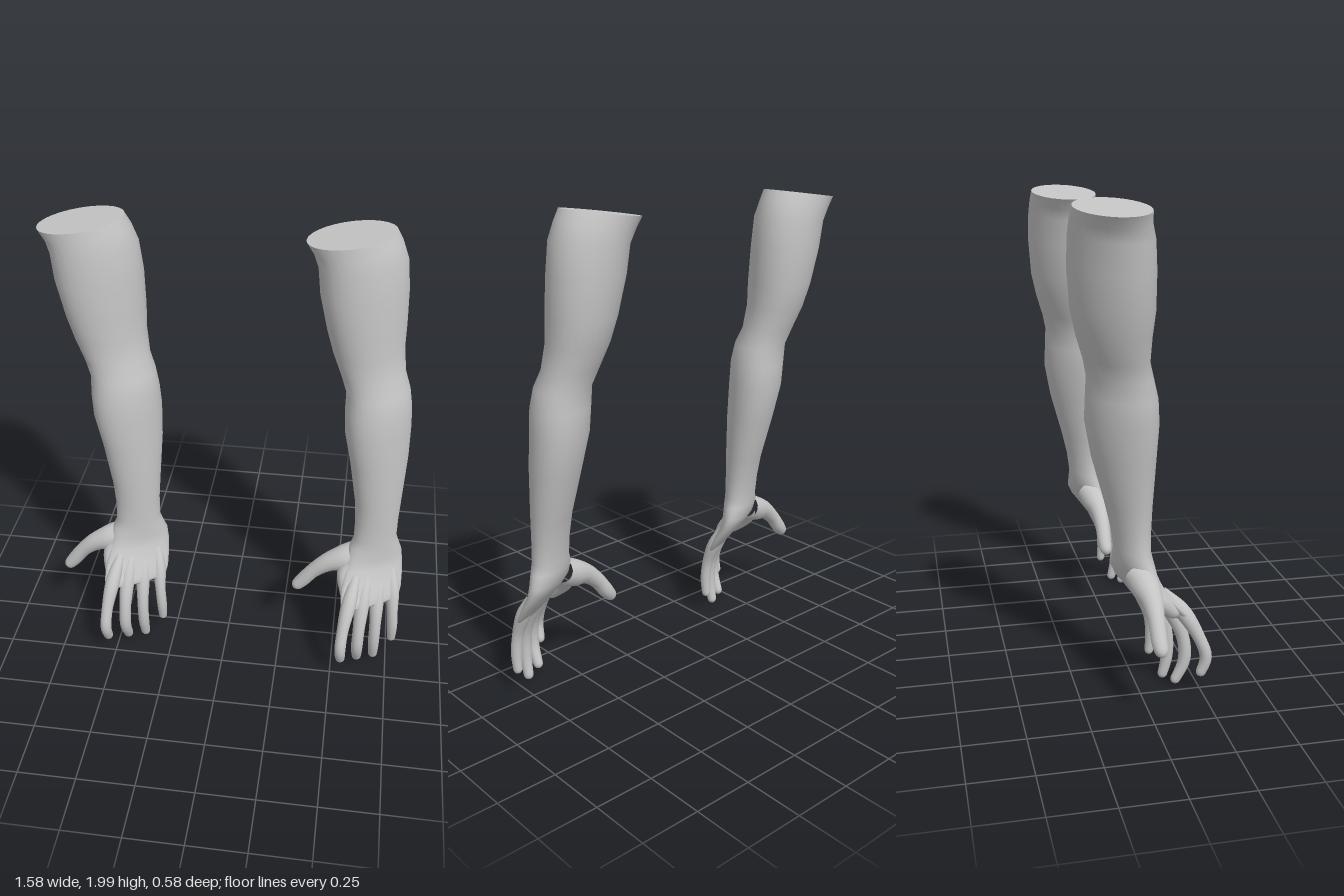
import * as THREE from 'three';

const skin = new THREE.MeshStandardMaterial({ color: 0xc4c4c4 });
skin.name = 'plain grey';

// Skin a list of rings (each an array of Vector3) and close the far end.
function loft(rings) {
  const n = rings[0].length, pos = [], idx = [];
  rings.forEach(r => r.forEach(p => pos.push(p.x, p.y, p.z)));
  for (let i = 0; i < rings.length - 1; i++) {
    for (let j = 0; j < n; j++) {
      const a = i * n + j, b = i * n + (j + 1) % n;
      idx.push(a, b, a + n, b, b + n, a + n);
    }
  }
  const last = (rings.length - 1) * n;
  const c = centre(rings[rings.length - 1]);
  pos.push(c.x, c.y, c.z);
  for (let j = 0; j < n; j++) idx.push(last + j, last + (j + 1) % n, last + n);
  return build(pos, idx);
}

function centre(ring) {
  return ring.reduce((s, p) => s.add(p), new THREE.Vector3()).divideScalar(ring.length);
}

function build(pos, idx) {
  const g = new THREE.BufferGeometry();
  g.setAttribute('position', new THREE.Float32BufferAttribute(pos, 3));
  g.setIndex(idx);
  g.computeVertexNormals();
  return g;
}

// Skewed ellipse filling a box in x and z; tilt raises the +x side.
function section([y, x0, x1, z0, z1, skew, tilt = 0], n = 28) {
  const ring = [];
  for (let j = 0; j < n; j++) {
    const t = j / n * Math.PI * 2, dx = (x1 - x0) / 2 * Math.cos(t);
    ring.push(new THREE.Vector3((x0 + x1) / 2 + dx, y + tilt * dx,
      (z0 + z1) / 2 + (z1 - z0) / 2 * Math.sin(t + skew)));
  }
  return ring;
}

// Round tapering digit along points of [x, y, z, radius], with a rounded tip.
function digit(points, sides = 14, steps = 24) {
  const curve = new THREE.CatmullRomCurve3(points.map(p => new THREE.Vector3(p[0], p[1], p[2])));
  const radii = new THREE.CatmullRomCurve3(points.map((p, i) => new THREE.Vector3(i, p[3], 0)));
  const ts = [];
  for (let i = 0; i <= steps; i++) ts.push(Math.sin(i / steps * Math.PI / 2));
  const { normals, binormals } = curve.computeFrenetFrames(200, false);
  const length = curve.getLength();
  return loft(ts.map(t => {
    const k = Math.round(t * 200), p = curve.getPointAt(t);
    let r = radii.getPoint(curve.getUtoTmapping(t)).y;
    const toEnd = (1 - t) * length / r;
    if (toEnd < 1) r *= Math.sqrt(Math.max(0.01, 1 - (1 - toEnd) ** 2));
    const ring = [];
    for (let j = 0; j < sides; j++) {
      const a = j / sides * Math.PI * 2;
      ring.push(p.clone().addScaledVector(normals[k], r * Math.cos(a))
        .addScaledVector(binormals[k], r * Math.sin(a)));
    }
    return ring;
  }));
}

// y, x min, x max, z min, z max, skew, tilt
const upperRows = [
  [1.975, -0.79, -0.44, -0.28, 0.00, -0.1, 0.14],
  [1.93, -0.76, -0.415, -0.285, 0.005, -0.13, 0.13],
  [1.87, -0.738, -0.39, -0.288, 0.02, -0.18, 0.08],
  [1.75, -0.725, -0.375, -0.288, 0.027, -0.22, 0.03],
  [1.60, -0.69, -0.37, -0.275, 0.03, -0.24],
  [1.50, -0.66, -0.37, -0.252, 0.022, -0.25],
  [1.40, -0.62, -0.357, -0.22, 0.022, -0.25],
  [1.33, -0.594, -0.332, -0.204, 0.043, -0.25],
  [1.25, -0.594, -0.318, -0.206, 0.062, -0.27],
  [1.15, -0.588, -0.311, -0.208, 0.068, -0.3],
  [1.00, -0.556, -0.31, -0.18, 0.063, -0.3],
];
const lowerRows = [
  [0.80, -0.522, -0.32, -0.125, 0.054, -0.3],
  [0.70, -0.514, -0.325, -0.102, 0.05, -0.3],
  [0.61, -0.514, -0.326, -0.09, 0.05, -0.32],
  [0.57, -0.53, -0.314, -0.092, 0.058, -0.42],
  [0.52, -0.535, -0.297, -0.092, 0.068, -0.62],
  [0.47, -0.54, -0.289, -0.07, 0.09, -0.85],
  [0.41, -0.55, -0.284, -0.025, 0.14, -0.98],
  [0.36, -0.55, -0.284, 0.01, 0.18, -1.08],
  [0.335, -0.54, -0.29, 0.035, 0.19, -1.15],
  [0.325, -0.52, -0.31, 0.055, 0.18, -1.2],
];

const digits = {
  indexFinger: [[-0.49, 0.45, 0.085, 0.02], [-0.512, 0.36, 0.17, 0.033], [-0.53, 0.25, 0.235, 0.026],
    [-0.535, 0.16, 0.265, 0.025], [-0.53, 0.075, 0.24, 0.02]],
  middleFinger: [[-0.44, 0.45, 0.06, 0.02], [-0.452, 0.35, 0.13, 0.033], [-0.458, 0.23, 0.185, 0.027],
    [-0.46, 0.12, 0.195, 0.026], [-0.457, 0.015, 0.15, 0.02]],
  ringFinger: [[-0.385, 0.45, 0.025, 0.02], [-0.388, 0.35, 0.088, 0.032], [-0.386, 0.22, 0.135, 0.026],
    [-0.385, 0.11, 0.14, 0.025], [-0.383, 0.005, 0.118, 0.02]],
  littleFinger: [[-0.335, 0.45, 0.0, 0.02], [-0.321, 0.36, 0.045, 0.03], [-0.312, 0.26, 0.08, 0.024],
    [-0.306, 0.17, 0.088, 0.023], [-0.305, 0.08, 0.08, 0.018]],
  thumb: [[-0.48, 0.52, -0.01, 0.055], [-0.55, 0.49, 0.01, 0.058], [-0.615, 0.464, 0.018, 0.044],
    [-0.68, 0.41, 0.02, 0.034], [-0.73, 0.345, 0.02, 0.032], [-0.77, 0.298, 0.025, 0.024]],
  thumbWeb: [[-0.50, 0.50, 0.02, 0.045], [-0.535, 0.44, 0.055, 0.04], [-0.527, 0.385, 0.11, 0.033],
    [-0.515, 0.35, 0.15, 0.027]],
};

function createArm() {
  const arm = new THREE.Group();
  const add = (name, geometry) => {
    const m = new THREE.Mesh(geometry, skin);
    m.name = name;
    arm.add(m);
  };
  // Upper arm, forearm and palm in one smooth skin
  const rings = [...upperRows, ...lowerRows].map(r => section(r));
  add('armAndPalm', loft(rings));

  // Flat cut at the shoulder
  const top = rings[0], c = centre(top), pos = [c.x, c.y, c.z], idx = [];
  top.forEach((p, j) => {
    pos.push(p.x, p.y, p.z);
    idx.push(0, (j + 1) % top.length + 1, j + 1);
  });
  add('shoulderCut', build(pos, idx));

  // Fingers, thumb and the web between thumb and palm
  for (const [name, points] of Object.entries(digits)) add(name, digit(points));
  return arm;
}

export function createModel() {
  const model = new THREE.Group();
  model.name = 'pairOfArms';
  const first = createArm();
  first.name = 'rightArm';
  const second = first.clone();
  second.name = 'leftArm';
  second.position.x = 1.075;
  model.add(first, second);
  return model;
}
